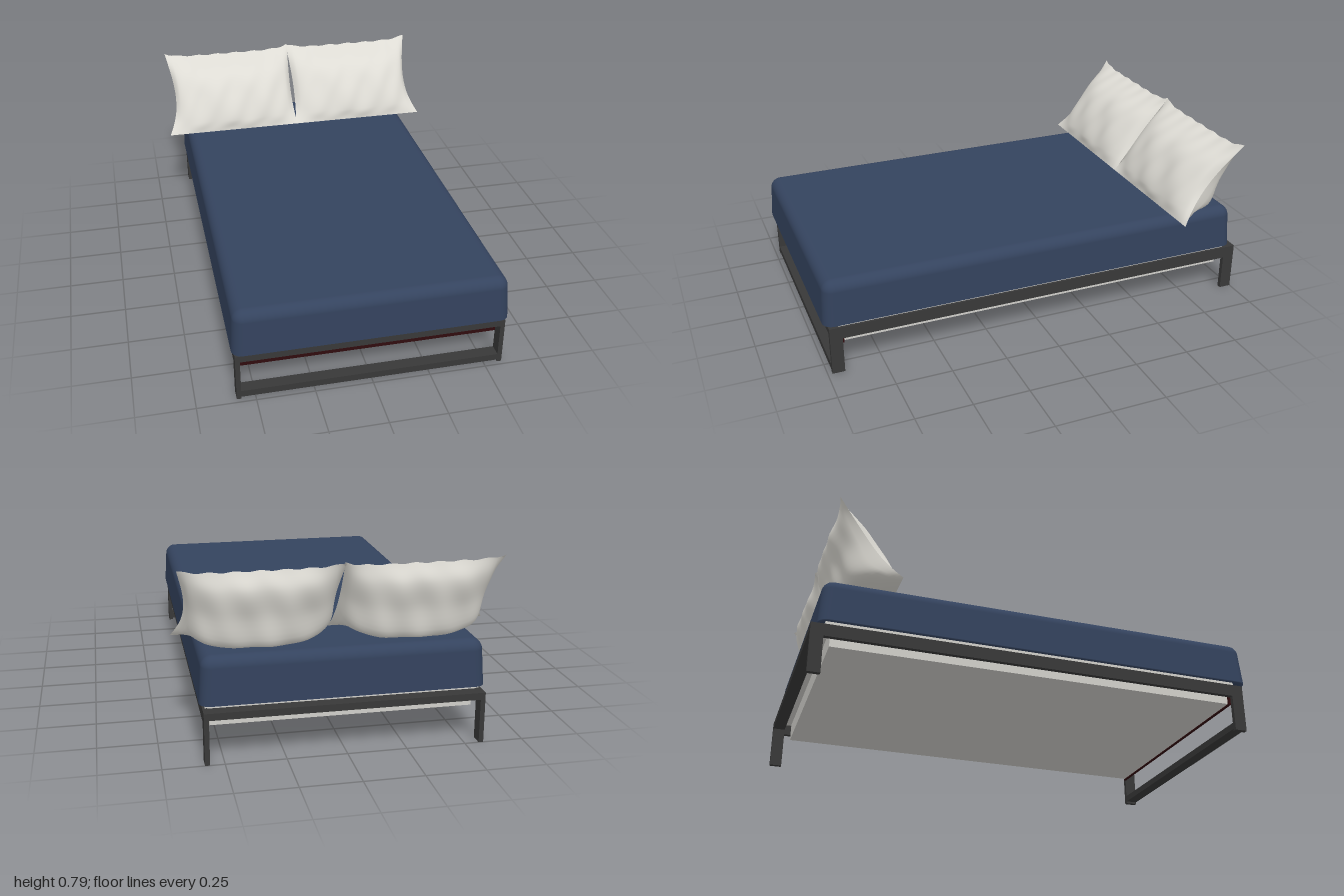
import * as THREE from 'three';
import { RoundedBoxGeometry } from 'three/addons/geometries/RoundedBoxGeometry.js';

const material = (name, color, side = THREE.FrontSide) => {
  const m = new THREE.MeshStandardMaterial({ color, side });
  m.name = name;
  return m;
};

export function createModel() {
  const frameMat = material('charcoal frame', 0x383838);
  const blueMat = material('navy bedding', 0x34435e);
  const linenMat = material('pillow linen', 0xdddbd4, THREE.DoubleSide);
  const baseMat = material('pale base', 0xd0cfca);
  const redMat = material('dark red panel', 0x300c0e);

  const model = new THREE.Group();
  model.name = 'bed';

  const add = (parent, name, geometry, mat) => {
    const mesh = new THREE.Mesh(geometry, mat);
    mesh.name = name;
    parent.add(mesh);
    return mesh;
  };
  // Box given by its minimum and maximum corners
  const box = (parent, name, mat, [x0, y0, z0], [x1, y1, z1]) => {
    const g = new THREE.BoxGeometry(x1 - x0, y1 - y0, z1 - z0);
    g.translate((x0 + x1) / 2, (y0 + y1) / 2, (z0 + z1) / 2);
    return add(parent, name, g, mat);
  };

  // Metal frame: side rails, legs, end rails and the foot bar
  const frame = new THREE.Group();
  frame.name = 'frame';
  model.add(frame);
  for (const s of [-1, 1]) {
    const x0 = s < 0 ? -0.58 : 0.56, x1 = x0 + 0.02;
    const side = s < 0 ? 'right' : 'left';
    box(frame, side + 'SideRail', frameMat, [x0, 0.165, -1], [x1, 0.22, 0.98]);
    box(frame, side + 'FrontLeg', frameMat, [x0, 0, 0.925], [x1, 0.165, 0.98]);
    box(frame, side + 'BackLeg', frameMat, [x0, 0, -1], [x1, 0.165, -0.945]);
  }
  box(frame, 'frontRail', frameMat, [-0.56, 0.19, 0.925], [0.56, 0.22, 0.98]);
  box(frame, 'backRail', frameMat, [-0.56, 0.19, -1], [0.56, 0.22, -0.945]);
  box(frame, 'footBar', frameMat, [-0.56, 0.01, 0.925], [0.56, 0.04, 0.98]);

  // Base tray under the mattress, with a coloured panel at its foot
  box(model, 'baseTray', baseMat, [-0.55, 0.135, -0.915], [0.55, 0.215, 0.915]);
  box(model, 'mattressSupport', baseMat, [-0.57, 0.215, -0.94], [0.57, 0.24, 0.94]);
  box(model, 'footPanel', redMat, [-0.56, 0.13, 0.915], [0.56, 0.195, 0.927]);

  // Mattress: rounded top, cut flat below, sides flaring slightly downward
  const mattress = new RoundedBoxGeometry(1.16, 0.28, 1.95, 6, 0.045);
  const p = mattress.attributes.position;
  for (let i = 0; i < p.count; i++) {
    const y = Math.max(p.getY(i) + 0.295, 0.237);
    const flare = 0.012 * (0.435 - y) / 0.2;
    p.setXYZ(i,
      p.getX(i) + Math.sign(p.getX(i)) * flare, y,
      p.getZ(i) + Math.sign(p.getZ(i)) * flare + 0.015);
  }
  add(model, 'mattress', mattress, blueMat);

  // Pillow: front and back skins loft between a leaning seam and a full profile
  const curve = pts => new THREE.CatmullRomCurve3(pts.map(([z, y]) => new THREE.Vector3(0, y, z)));
  const seam = curve([[-0.65, 0.435], [-0.73, 0.53], [-0.82, 0.645], [-0.92, 0.765]]);
  const frontSkin = curve([[-0.65, 0.435], [-0.652, 0.49], [-0.7, 0.6], [-0.775, 0.695], [-0.92, 0.765]]);
  const backSkin = curve([[-0.65, 0.435], [-0.76, 0.432], [-0.87, 0.436], [-0.912, 0.57], [-0.945, 0.69], [-0.92, 0.765]]);

  const pillowSkin = (profile, outward, side) => {
    const nu = 40, nv = 28;
    const pos = [], idx = [];
    for (let j = 0; j <= nv; j++) {
      const v = j / nv, a = seam.getPoint(v), b = profile.getPoint(v);
      for (let i = 0; i <= nu; i++) {
        const u = i / nu * 2 - 1;
        const outer = u * side > 0;
        const full = Math.pow(1 - Math.pow(Math.abs(u), 3), 0.6);
        const q = a.clone().lerp(b, full);
        // Seam pulls in between the corners, soft creases run over the skin
        const pull = (outer ? 0.035 : 0.012) * Math.sin(Math.PI * v) * u ** 4;
        const half = (outer ? 0.336 : 0.33) + (outer ? 0.016 * (1 - v) ** 4 : 0);
        const crease = full * Math.sin(Math.PI * v) * 0.004 *
          (Math.sin(u * 9 + v * 7) + Math.sin(u * 15 - v * 11 + side));
        const tip = Math.abs(u) ** 6 * v ** 4 * 0.018;
        const edge = 0.003 * Math.sin(u * 21 + side) * v ** 8;
        pos.push(side * 0.327 + u * half - Math.sign(u) * pull,
          Math.max(q.y + tip + edge, 0.432), q.z + outward * crease - tip * 0.7);
      }
    }
    for (let j = 0; j < nv; j++) for (let i = 0; i < nu; i++) {
      const a = j * (nu + 1) + i, b = a + 1, c = a + nu + 1, d = c + 1;
      if (outward > 0) idx.push(a, b, d, a, d, c);
      else idx.push(a, d, b, a, c, d);
    }
    const g = new THREE.BufferGeometry();
    g.setAttribute('position', new THREE.Float32BufferAttribute(pos, 3));
    g.setIndex(idx);
    g.computeVertexNormals();
    return g;
  };
  for (const s of [-1, 1]) {
    const pillow = new THREE.Group();
    pillow.name = s < 0 ? 'rightPillow' : 'leftPillow';
    add(pillow, 'pillowFront', pillowSkin(frontSkin, 1, s), linenMat);
    add(pillow, 'pillowBack', pillowSkin(backSkin, -1, s), linenMat);
    model.add(pillow);
  }
  return model;
}
